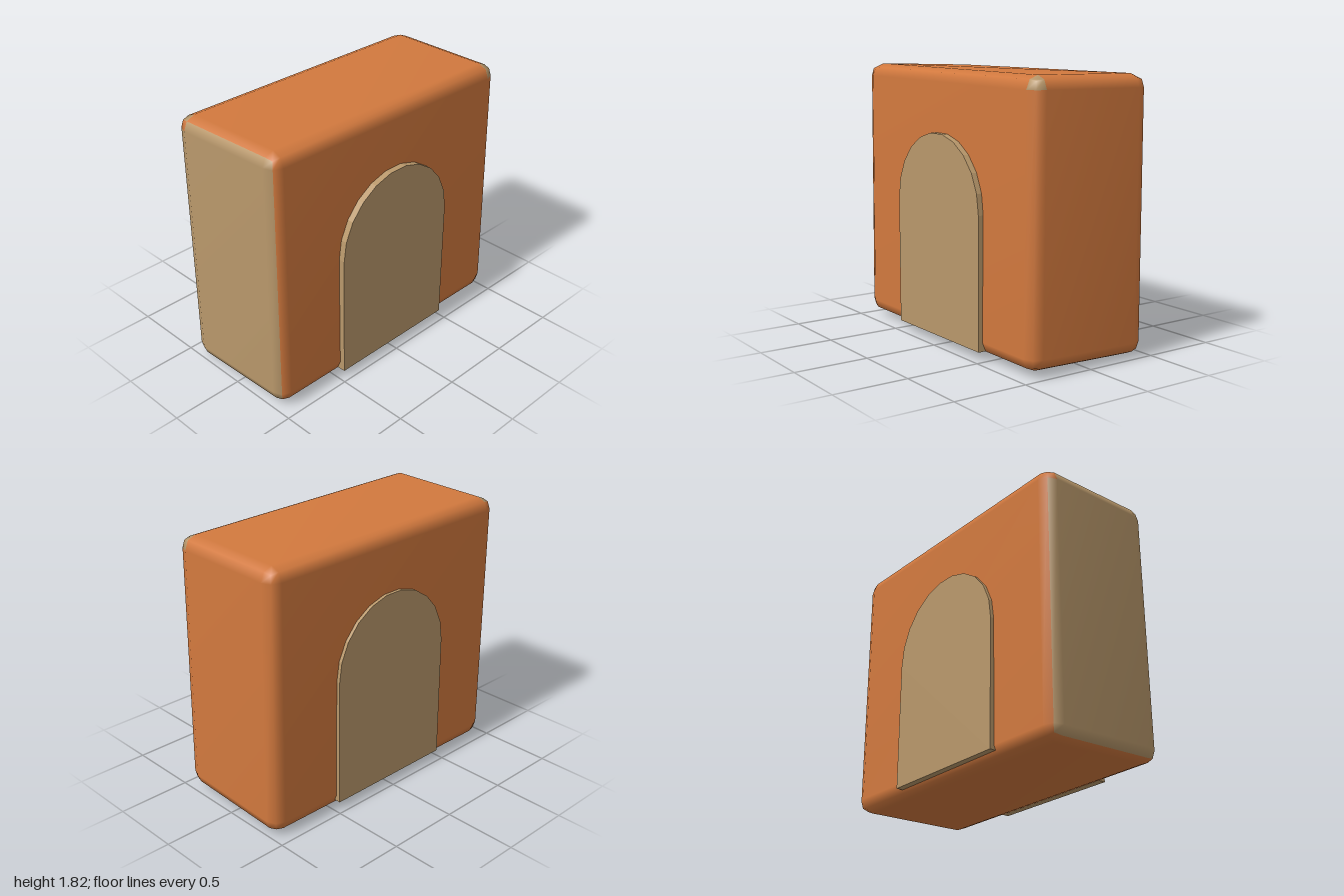
import * as THREE from 'three';
import { mergeVertices } from 'three/addons/utils/BufferGeometryUtils.js';

const orange = new THREE.MeshStandardMaterial({ color: 0xd2793e });
orange.name = 'burnt orange';
const tan = new THREE.MeshStandardMaterial({ color: 0xb9986b });
tan.name = 'tan';

// Slightly uneven block corners, keyed by the signs of x, y, z
const corners = {
  '---': [-0.99, 0.0, -0.44], '--+': [-0.99, 0.03, 0.43],
  '+--': [1.0, 0.02, -0.44], '+-+': [0.99, 0.035, 0.445],
  '-+-': [-0.995, 1.8, -0.45], '-++': [-0.985, 1.82, 0.42],
  '++-': [0.99, 1.79, -0.45], '+++': [0.985, 1.795, 0.43],
};

// Box whose edges are pulled in to a two-step bevel
function makeBlock() {
  let geo = new THREE.BoxGeometry(3, 3, 3, 3, 3, 3);
  geo.deleteAttribute('normal');
  geo.deleteAttribute('uv');
  geo = mergeVertices(geo);
  const pos = geo.attributes.position;
  const bevel = 0.085, pull = [0, 0, 0.025, 0.035];
  for (let i = 0; i < pos.count; i++) {
    const p = [pos.getX(i), pos.getY(i), pos.getZ(i)];
    const corner = corners[p.map((v) => (v > 0 ? '+' : '-')).join('')];
    const outer = p.map((v) => Math.abs(v) > 1);
    const inset = pull[outer.filter(Boolean).length];
    pos.setXYZ(i, ...p.map((v, k) => corner[k] - Math.sign(v) * (outer[k] ? inset : bevel)));
  }
  geo.computeVertexNormals();

  // The front upper left corner is a tan chip
  const body = [], chip = [];
  const index = geo.index.array;
  for (let i = 0; i < index.length; i += 3) {
    const tri = [index[i], index[i + 1], index[i + 2]];
    const inChip = tri.every((v) => pos.getX(v) > 0 && pos.getY(v) > 0.9 && pos.getZ(v) > 0);
    (inChip ? chip : body).push(...tri);
  }
  geo.setIndex([...body, ...chip]);
  geo.addGroup(0, body.length, 0);
  geo.addGroup(body.length, chip.length, 1);
  return geo;
}

// Arched panel with a faceted top
function makePanel() {
  const r = 0.475, spring = 0.925, steps = 11;
  const points = [new THREE.Vector2(-r, 0.06), new THREE.Vector2(r, 0.06)];
  for (let i = 0; i <= steps; i++) {
    const a = (Math.PI * i) / steps;
    points.push(new THREE.Vector2(r * Math.cos(a), spring + r * Math.sin(a)));
  }
  return new THREE.ExtrudeGeometry(new THREE.Shape(points), { depth: 0.07, bevelEnabled: false });
}

export function createModel() {
  const group = new THREE.Group();

  const block = new THREE.Mesh(makeBlock(), [orange, tan]);
  block.name = 'block';
  group.add(block);

  const panelGeo = makePanel();
  for (const [name, z] of [['frontArchPanel', 0.4], ['backArchPanel', -0.47]]) {
    const panel = new THREE.Mesh(panelGeo, tan);
    panel.name = name;
    panel.position.z = z;
    group.add(panel);
  }
  return group;
}
